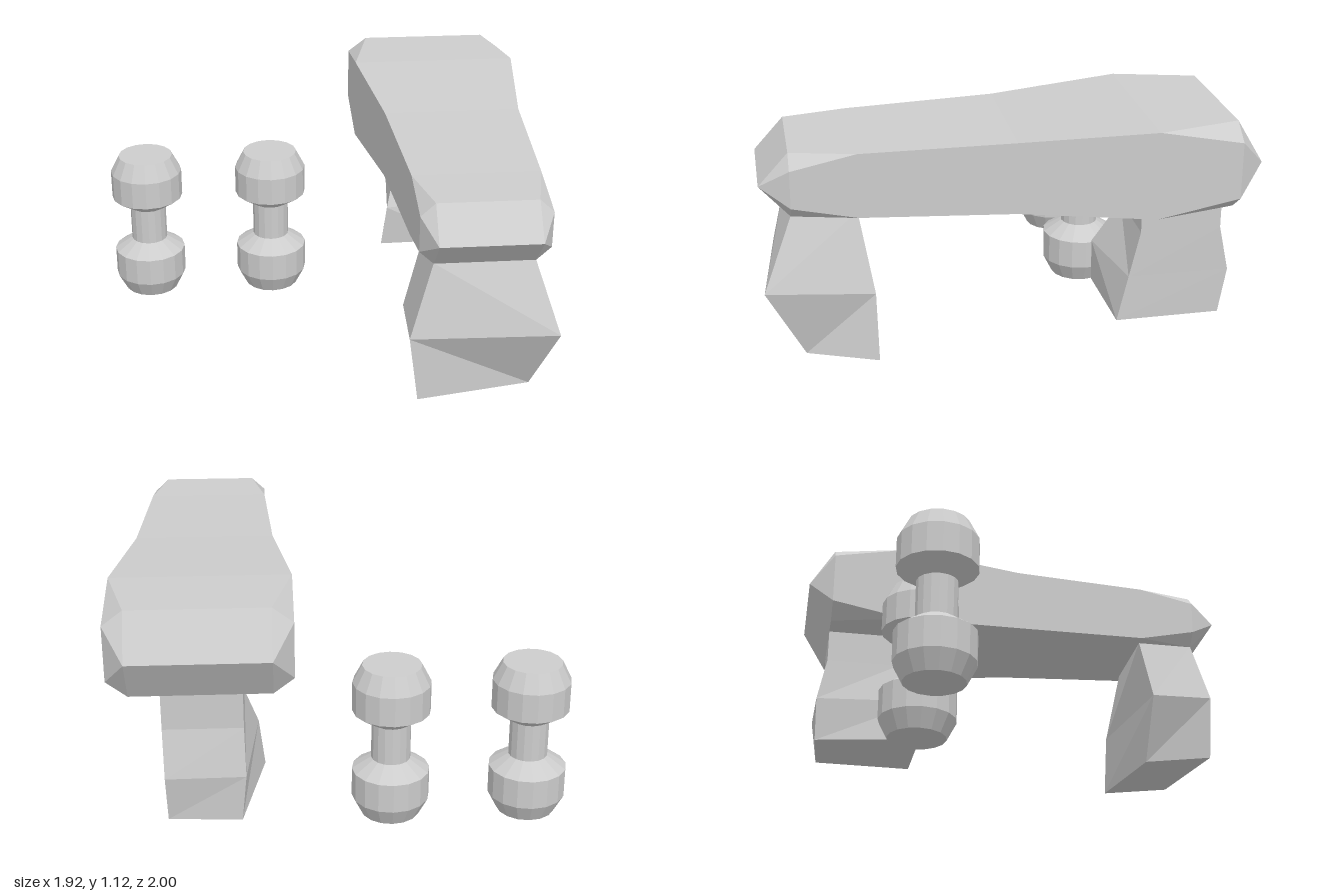
import * as THREE from 'three';

const grey = new THREE.MeshStandardMaterial({ color: 0xcccccc });
grey.name = 'plain grey';

// Skins a stack of rings (each counter-clockwise seen from the far end) with flat faces.
// flipped lists the ring sides whose quads are split along the other diagonal.
function loft(rings, flipped = []) {
  const pos = [];
  const tri = (...corners) => {
    const [a, b, c] = corners.map(p => new THREE.Vector3(...p));
    if (new THREE.Triangle(a, b, c).getArea() > 1e-6) pos.push(...corners.flat());
  };
  const n = rings[0].length;
  for (let r = 0; r + 1 < rings.length; r++) {
    for (let i = 0; i < n; i++) {
      const j = (i + 1) % n;
      const a = rings[r][i], b = rings[r][j], c = rings[r + 1][j], d = rings[r + 1][i];
      if (flipped.includes(i)) { tri(a, b, d); tri(b, c, d); }
      else { tri(a, b, c); tri(a, c, d); }
    }
  }
  const first = rings[0], last = rings[rings.length - 1];
  for (let i = 1; i + 1 < n; i++) {
    tri(first[0], first[i + 1], first[i]);
    tri(last[0], last[i], last[i + 1]);
  }
  const geo = new THREE.BufferGeometry();
  geo.setAttribute('position', new THREE.Float32BufferAttribute(pos, 3));
  geo.computeVertexNormals();
  return geo;
}

// Eight-cornered bench section: half width W, half height H, chamfered to w and h
function benchRing([z, W, H, w = W, h = H]) {
  const cx = 0.59, cy = 0.942;
  return [[W, -h], [W, h], [w, H], [-w, H], [-W, h], [-W, -h], [-w, -H], [w, -H]]
    .map(([x, y]) => [cx + x, cy + y, z]);
}

// Level rectangle for the tops of the legs
const rect = (x0, x1, z0, z1, y) => [[x0, y, z1], [x1, y, z1], [x1, y, z0], [x0, y, z0]];

function addMesh(parent, name, geo) {
  const mesh = new THREE.Mesh(geo, grey);
  mesh.name = name;
  parent.add(mesh);
  return mesh;
}

export function createModel() {
  const model = new THREE.Group();
  model.name = 'benchAndDumbbells';

  // Padded bench top, wide at the back and wedge-shaped at both ends
  addMesh(model, 'benchTop', loft([
    [-1.0, 0.285, 0],
    [-0.89, 0.37, 0.183, 0.285, 0.118],
    [-0.55, 0.37, 0.183],
    [0, 0.297, 0.149],
    [0.62, 0.265, 0.133],
    [0.88, 0.265, 0.133, 0.205, 0.077],
    [1.0, 0.205, 0],
  ].map(benchRing)));

  // Twisted front leg
  addMesh(model, 'frontLeg', loft([
    [[0.33, 0.21, 0.935], [0.81, 0.21, 0.845], [0.92, 0.21, 0.56], [0.44, 0.21, 0.65]],
    [[0.29, 0.5, 0.94], [0.89, 0.525, 1.0], [0.885, 0.49, 0.565], [0.3, 0.5, 0.66]],
    rect(0.385, 0.795, 0.62, 0.88, 0.812),
  ], [0]));

  // Rear leg with a short straight neck
  addMesh(model, 'rearLeg', loft([
    [[0.345, 0.21, -0.45], [0.75, 0.21, -0.46], [0.74, 0.21, -0.905], [0.44, 0.21, -0.925]],
    [[0.37, 0.41, -0.44], [0.75, 0.41, -0.505], [0.745, 0.41, -0.935], [0.42, 0.41, -0.93]],
    rect(0.425, 0.75, -0.89, -0.55, 0.61),
    rect(0.425, 0.75, -0.89, -0.55, 0.762),
  ], [0]));

  // Two dumbbells standing on end
  const half = [[0, 0], [0.127, 0], [0.168, 0.08], [0.168, 0.21], [0.085, 0.265]];
  const profile = [...half, ...half.map(([r, y]) => [r, 0.7 - y]).reverse()]
    .map(([r, y]) => new THREE.Vector2(r, y));
  const bell = new THREE.LatheGeometry(profile, 16).toNonIndexed();
  bell.computeVertexNormals();
  for (const [name, x] of [['outerDumbbell', -0.79], ['innerDumbbell', -0.195]]) {
    addMesh(model, name, bell).position.set(x, 0, -0.52);
  }
  return model;
}
